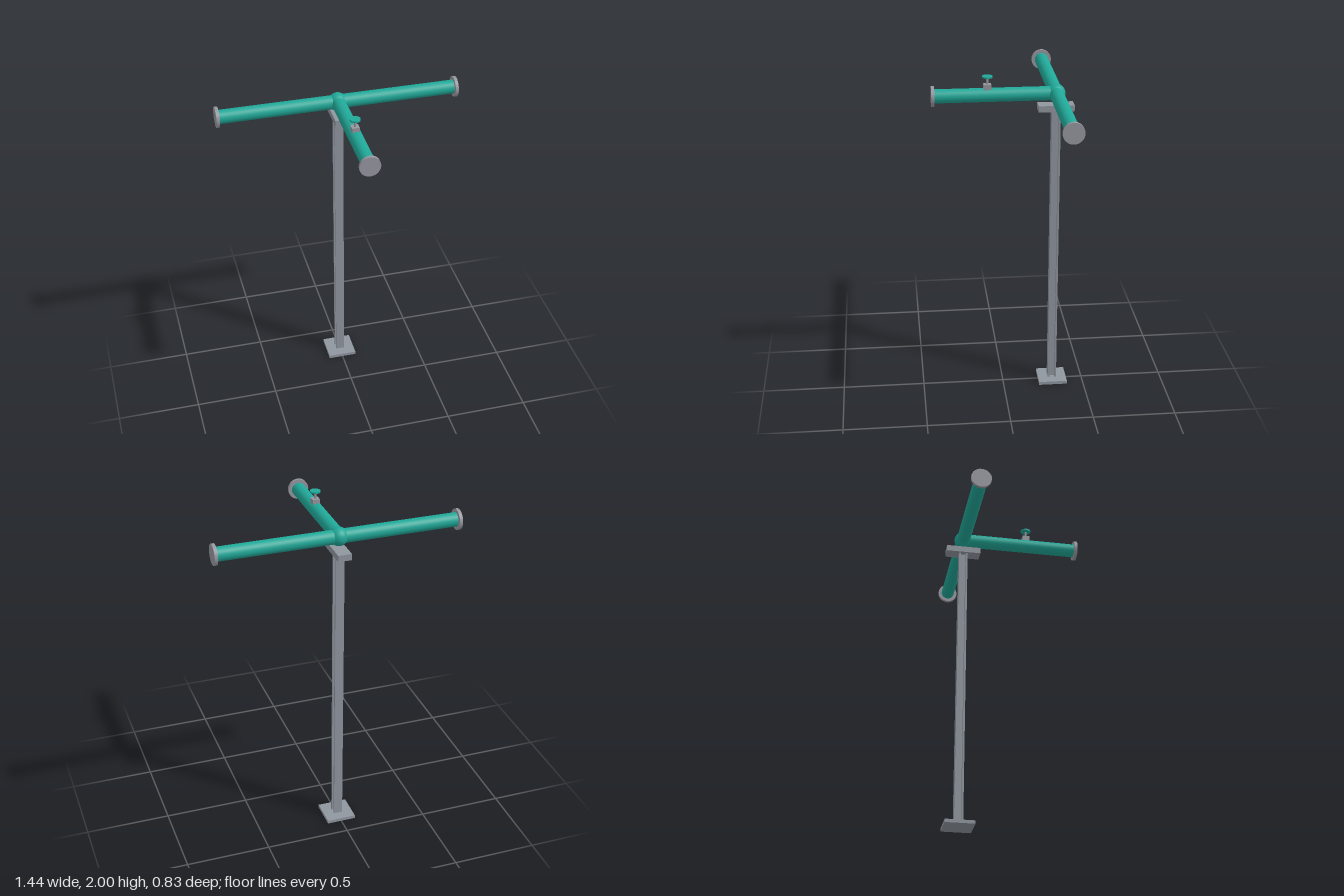
import * as THREE from 'three';

const teal = new THREE.MeshStandardMaterial({ color: 0x20a898 });
teal.name = 'teal paint';
const steel = new THREE.MeshStandardMaterial({ color: 0x8f969f });
steel.name = 'steel grey';
const flangeGrey = new THREE.MeshStandardMaterial({ color: 0x96979f });
flangeGrey.name = 'flange grey';

const POST_Z = -0.31; // post and cross pipe sit behind the centre
const PIPE_Y = 1.887;
const PIPE_R = 0.041;

export function createModel() {
  const model = new THREE.Group();
  model.name = 'pipeStand';

  function add(name, geometry, material, x, y, z) {
    const mesh = new THREE.Mesh(geometry, material);
    mesh.name = name;
    mesh.position.set(x, y, z);
    model.add(mesh);
    return mesh;
  }
  const box = (w, h, d) => new THREE.BoxGeometry(w, h, d);
  const rod = (r, length) => new THREE.CylinderGeometry(r, r, length, 32);

  // Base plate
  add('basePlate', box(0.176, 0.02, 0.176), steel, 0, 0.01, POST_Z);

  // H-section post: flanges front and back, web between them
  const s = 0.0265, t = 0.011, w = 0.006;
  const section = new THREE.Shape([
    [-s, -s], [s, -s], [s, -s + t], [w, -s + t], [w, s - t], [s, s - t],
    [s, s], [-s, s], [-s, s - t], [-w, s - t], [-w, -s + t], [-s, -s + t],
  ].map(([x, y]) => new THREE.Vector2(x, y)));
  const post = new THREE.ExtrudeGeometry(section, { depth: 1.763, bevelEnabled: false });
  post.rotateX(-Math.PI / 2);
  add('post', post, steel, 0, 0.02, POST_Z);

  // Saddle beam on top of the post, under the pipes
  add('saddleBeam', box(0.08, 0.038, 0.21), steel, 0, 1.802, POST_Z);

  // Cross pipe, forward branch and the ball joint where they meet
  add('crossPipe', rod(PIPE_R, 1.42), teal, 0, PIPE_Y, POST_Z).rotation.z = Math.PI / 2;
  add('branchPipe', rod(PIPE_R, 0.71), teal, 0, PIPE_Y, 0.045).rotation.x = Math.PI / 2;
  add('jointBall', new THREE.SphereGeometry(0.054, 32, 20), teal, 0, PIPE_Y, POST_Z);

  // End flanges
  for (const side of [-1, 1]) {
    add('crossFlange', rod(0.061, 0.019), flangeGrey, side * 0.712, PIPE_Y, POST_Z).rotation.z = Math.PI / 2;
  }
  add('branchFlange', rod(0.061, 0.019), flangeGrey, 0, PIPE_Y, 0.4055).rotation.x = Math.PI / 2;

  // Valve on the branch: body, spindle and handwheel
  const valveZ = 0.09;
  add('valveBody', box(0.044, 0.034, 0.044), flangeGrey, 0, 1.935, valveZ);
  add('valveSpindle', rod(0.007, 0.045), flangeGrey, 0, 1.971, valveZ);
  add('valveHandwheel', rod(0.031, 0.009), teal, 0, 1.9955, valveZ);

  return model;
}
